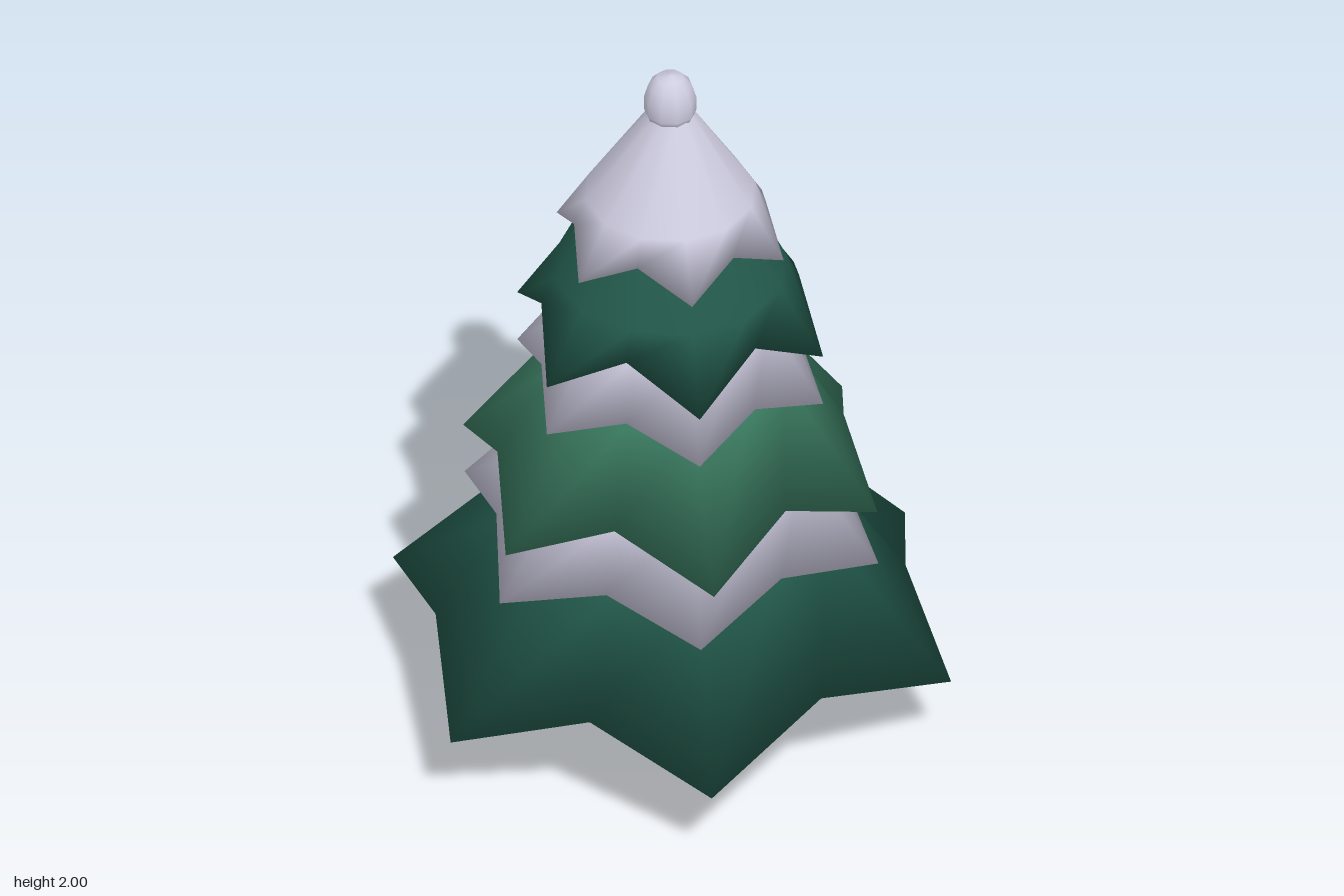
import * as THREE from 'three';

const material = (name, color) => {
  const m = new THREE.MeshStandardMaterial({ color });
  m.name = name;
  return m;
};

// A closed six-pointed tier: a star rim of tips and valleys, round rings above,
// and a shallow dome underneath that shares the rim so the edge shades softly.
function tierGeometry({ tip, valley, rings, base, angles = [0, 60, 120, 180, 240, 300] }) {
  const n = 12, pos = [], idx = [];
  const add = (deg, r, y) => {
    const a = THREE.MathUtils.degToRad(deg);
    pos.push(r * Math.cos(a), y, r * Math.sin(a));
  };
  for (let i = 0; i < 6; i++) {
    const next = i < 5 ? angles[i + 1] : angles[0] + 360;
    add(angles[i], ...tip);
    add((angles[i] + next) / 2, ...valley);
  }
  for (const [r, y] of rings) for (let i = 0; i < n; i++) add(i * 30, r, y);
  for (let k = 0; k < rings.length; k++) {
    for (let i = 0; i < n; i++) {
      const a = k * n + i, b = k * n + (i + 1) % n;
      idx.push(b, a, a + n, b, a + n, b + n);
    }
  }
  // Underside
  const centre = pos.length / 3;
  add(0, 0, base);
  for (let i = 0; i < n; i++) idx.push(i, (i + 1) % n, centre);

  const g = new THREE.BufferGeometry();
  g.setAttribute('position', new THREE.Float32BufferAttribute(pos, 3));
  g.setIndex(idx);
  g.computeVertexNormals();
  return g;
}

export function createModel() {
  const model = new THREE.Group();
  model.name = 'snowyTree';
  const darkGreen = material('dark green', 0x22584a);
  const lightGreen = material('light green', 0x3a7a60);
  const snow = material('snow', 0xcdcbdf);
  const bark = material('bark', 0x55362d);

  const add = (name, geometry, mat, y = 0) => {
    const mesh = new THREE.Mesh(geometry, mat);
    mesh.name = name;
    mesh.position.set(0, y, -0.02);
    model.add(mesh);
  };

  // Branch tiers and the snow between them; each pair is [radius, height]
  const tiers = [
    { name: 'lowerBranches', mat: darkGreen, tip: [0.762, 0.253], valley: [0.61, 0.362], base: 0.49,
      rings: [[0.42, 0.645], [0.25, 0.85]], angles: [0, 62.5, 118, 182, 237.5, 302.5] },
    { name: 'lowerSnow', mat: snow, tip: [0.565, 0.581], valley: [0.45, 0.652], base: 0.71,
      rings: [[0.36, 0.84], [0.2, 1.05]], angles: [0, 62.5, 121, 182, 242, 302] },
    { name: 'middleBranches', mat: lightGreen, tip: [0.562, 0.744], valley: [0.45, 0.861], base: 0.92,
      rings: [[0.31, 1.1], [0.15, 1.3]], angles: [0, 59, 119, 180, 242, 302] },
    { name: 'middleSnow', mat: snow, tip: [0.415, 1.053], valley: [0.335, 1.122], base: 1.16,
      rings: [[0.265, 1.28], [0.12, 1.5]] },
    { name: 'upperBranches', mat: darkGreen, tip: [0.415, 1.203], valley: [0.335, 1.316], base: 1.36,
      rings: [[0.3, 1.39], [0.225, 1.55], [0.1, 1.7]] },
    { name: 'snowCap', mat: snow, tip: [0.308, 1.484], valley: [0.25, 1.557], base: 1.59,
      rings: [[0.22, 1.63], [0.06, 1.88]] },
  ];
  for (const t of tiers) add(t.name, tierGeometry(t), t.mat);

  // Snowball on the top
  const profile = [[0, 1.87], [0.06, 1.87], [0.067, 1.89], [0.067, 1.93], [0.056, 1.968], [0.034, 1.992], [0, 2]];
  add('topSnowball', new THREE.LatheGeometry(profile.map(([r, y]) => new THREE.Vector2(r, y)), 10), snow);

  // Trunk
  add('trunk', new THREE.CylinderGeometry(0.08, 0.091, 0.55, 10), bark, 0.275);

  return model;
}
